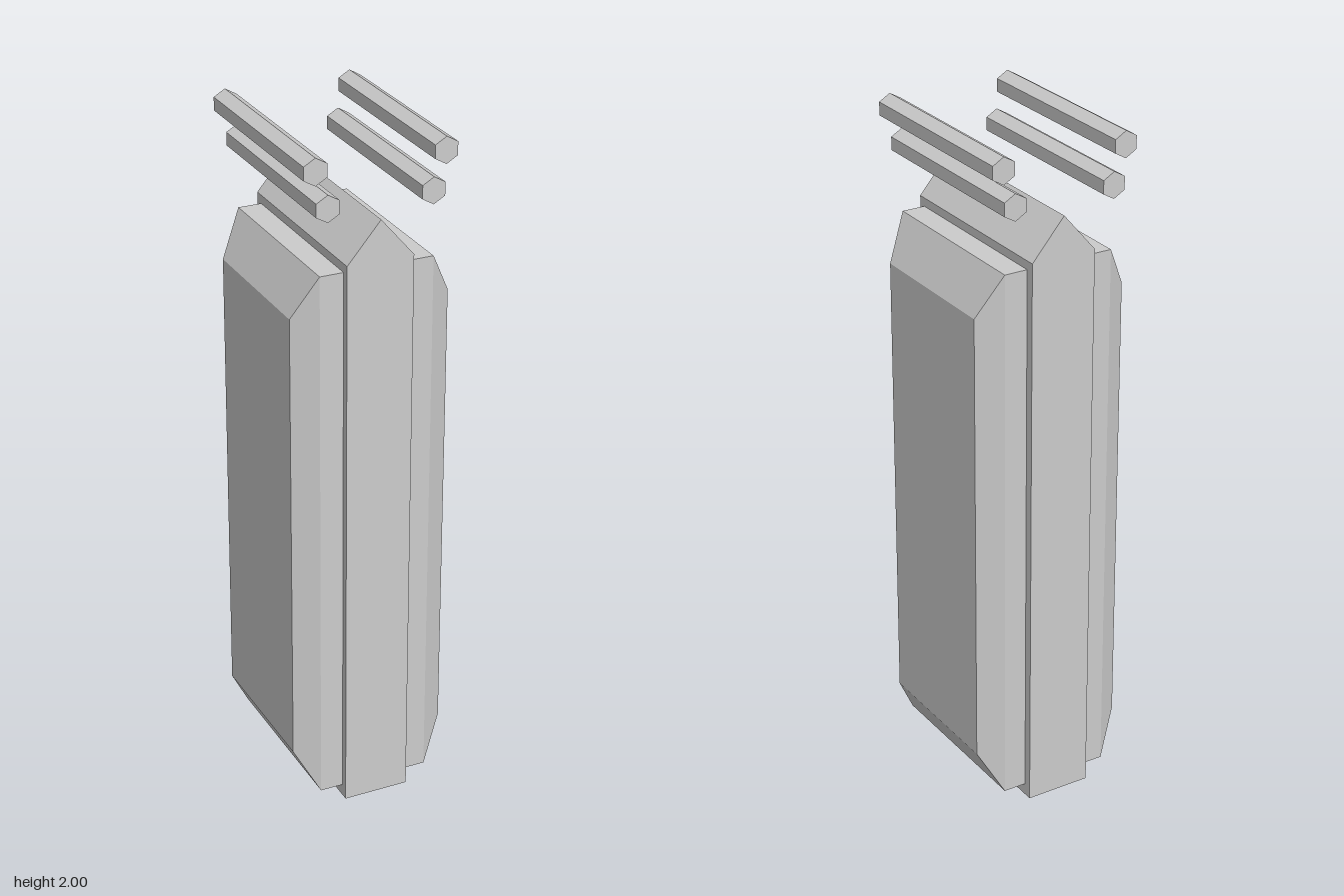
import * as THREE from 'three';

const material = new THREE.MeshStandardMaterial({ color: 0xcccccc, flatShading: true });

function addMesh(parent, name, geometry) {
  const mesh = new THREE.Mesh(geometry, material);
  mesh.name = name;
  parent.add(mesh);
  return mesh;
}

// Upright slab with a pointed ridge along its top
function coreGeometry() {
  const w = 0.098, depth = 0.584;
  const outline = new THREE.Shape([[-w, 0], [w, 0], [w, 1.685], [0, 1.8], [-w, 1.685]]
    .map(([x, y]) => new THREE.Vector2(x, y)));
  return new THREE.ExtrudeGeometry(outline, { depth, bevelEnabled: false })
    .translate(0, 0, -depth / 2);
}

// Box whose outer third tapers to a smaller face on the given side
function panelGeometry(side) {
  const inner = 0.098, shoulder = 0.167, outer = 0.235;
  const geometry = new THREE.BoxGeometry(1, 1, 1, 2, 1, 1);
  const p = geometry.attributes.position;
  for (let i = 0; i < p.count; i++) {
    const step = Math.round(p.getX(i) * side * 2) + 1; // 0 inner, 1 shoulder, 2 outer
    const small = step === 2;
    p.setXYZ(i,
      side * [inner, shoulder, outer][step],
      0.848 + p.getY(i) * (small ? 1.37 : 1.624),
      0.002 + p.getZ(i) * (small ? 0.449 : 0.537));
  }
  geometry.computeVertexNormals();
  return geometry;
}

export function createModel() {
  const model = new THREE.Group();
  model.name = 'ridgedSlabWithRods';

  addMesh(model, 'coreSlab', coreGeometry());

  // Six-sided rods lying front to back, a point upward
  const rodGeometry = new THREE.CylinderGeometry(0.0385, 0.0385, 0.588, 6).rotateX(Math.PI / 2);

  for (const [label, side] of [['left', 1], ['right', -1]]) {
    addMesh(model, label + 'Panel', panelGeometry(side));
    addMesh(model, label + 'UpperRod', rodGeometry).position.set(side * 0.188, 1.9615, -0.002);
    addMesh(model, label + 'LowerRod', rodGeometry).position.set(side * 0.153, 1.855, -0.002);
  }
  return model;
}
